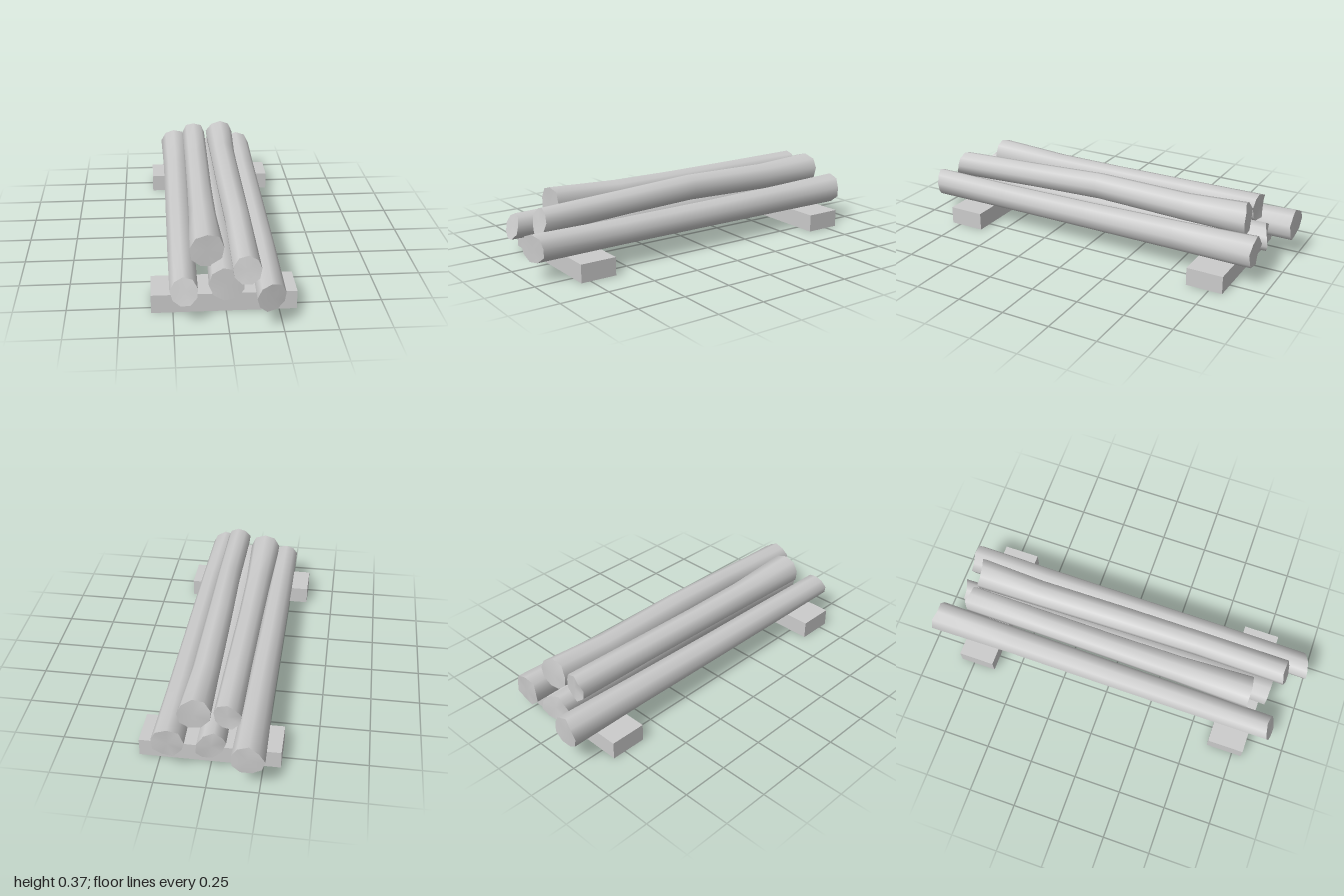
import * as THREE from 'three';

const SIDES = 9;
const material = new THREE.MeshStandardMaterial({ color: 0xcccccc });

function seeded(seed) {
  let s = seed;
  return () => (s = (s * 16807) % 2147483647) / 2147483647 - 0.5;
}

// Lofts a nine-sided log through rings [x, y, z, radius], ordered back to front.
// tilt = [slopeX, slopeY] slants the sawn end.
function log(name, { rings, phase, seed, backTilt, frontTilt }) {
  const rand = seeded(seed);
  const pos = [], index = [];
  const wobble = Array.from({ length: SIDES }, () => 1 + rand() * 0.08);
  const last = rings.length - 1;

  rings.forEach(([x, y, z, r], i) => {
    const tilt = i === 0 ? backTilt : i === last ? frontTilt : [0, 0];
    const rough = i === 0 ? 0.02 : i === last ? 0.008 : 0;
    for (let j = 0; j < SIDES; j++) {
      const a = phase + (j / SIDES) * Math.PI * 2;
      const dx = Math.cos(a) * r * wobble[j], dy = Math.sin(a) * r * wobble[j];
      pos.push(x + dx, y + dy, z + dx * tilt[0] + dy * tilt[1] + rand() * rough);
    }
  });

  // Bark
  for (let i = 0; i < last; i++) {
    for (let j = 0; j < SIDES; j++) {
      const a = i * SIDES + j, b = i * SIDES + (j + 1) % SIDES;
      index.push(a, b, b + SIDES, a, b + SIDES, a + SIDES);
    }
  }

  // Sawn ends, with their own corners so the rim stays sharp
  for (const i of [0, last]) {
    const start = pos.length / 3;
    pos.push(...pos.slice(i * SIDES * 3, (i + 1) * SIDES * 3));
    pos.push(rings[i][0], rings[i][1], rings[i][2]);
    for (let j = 0; j < SIDES; j++) {
      const a = start + j, b = start + (j + 1) % SIDES, c = start + SIDES;
      if (i === 0) index.push(c, b, a);
      else index.push(c, a, b);
    }
  }

  const geometry = new THREE.BufferGeometry();
  geometry.setAttribute('position', new THREE.Float32BufferAttribute(pos, 3));
  geometry.setIndex(index);
  geometry.computeVertexNormals();
  const mesh = new THREE.Mesh(geometry, material);
  mesh.name = name;
  return mesh;
}

function beam(name, x, z) {
  const mesh = new THREE.Mesh(new THREE.BoxGeometry(0.686, 0.093, 0.19), material);
  mesh.position.set(x, 0.0465, z);
  mesh.name = name;
  return mesh;
}

export function createModel() {
  const group = new THREE.Group();
  group.name = 'logPile';

  // Cross beams under the pile
  group.add(beam('frontBeam', -0.009, 0.705), beam('backBeam', 0.009, -0.725));

  // Bottom row
  group.add(log('lowerRightLog', {
    rings: [[-0.192, 0.18, -0.985, 0.081], [-0.19, 0.172, -0.55, 0.074], [-0.195, 0.168, 0, 0.07],
      [-0.198, 0.166, 0.5, 0.068], [-0.198, 0.162, 0.895, 0.066]],
    phase: 0.25, seed: 11, backTilt: [0.08, 0], frontTilt: [0, -0.35],
  }));
  group.add(log('lowerMiddleLog', {
    rings: [[-0.01, 0.17, -0.9, 0.07], [-0.005, 0.166, -0.45, 0.07], [0, 0.163, 0, 0.07],
      [0, 0.16, 0.45, 0.074], [0, 0.16, 0.835, 0.086]],
    phase: 0.37, seed: 23, backTilt: [-0.35, 0], frontTilt: [0, 0],
  }));
  group.add(log('lowerLeftLog', {
    rings: [[0.193, 0.175, -0.915, 0.081], [0.197, 0.171, -0.5, 0.074], [0.2, 0.168, 0, 0.069],
      [0.2, 0.166, 0.5, 0.067], [0.193, 0.163, 0.975, 0.07]],
    phase: 0.2, seed: 37, backTilt: [0, 0], frontTilt: [-0.38, 0.05],
  }));

  // Top row
  group.add(log('upperRightLog', {
    rings: [[-0.078, 0.29, -0.825, 0.069], [-0.08, 0.287, -0.4, 0.067], [-0.084, 0.283, 0, 0.067],
      [-0.086, 0.28, 0.35, 0.071], [-0.085, 0.285, 0.735, 0.085]],
    phase: 0.17, seed: 53, backTilt: [0.1, 0], frontTilt: [-0.08, 0],
  }));
  group.add(log('upperLeftLog', {
    rings: [[0.08, 0.288, -0.83, 0.082], [0.078, 0.28, -0.5, 0.072], [0.08, 0.292, 0, 0.069],
      [0.088, 0.278, 0.4, 0.066], [0.091, 0.256, 0.885, 0.068]],
    phase: 0.1, seed: 71, backTilt: [-0.1, 0.05], frontTilt: [0, -0.22],
  }));

  return group;
}
